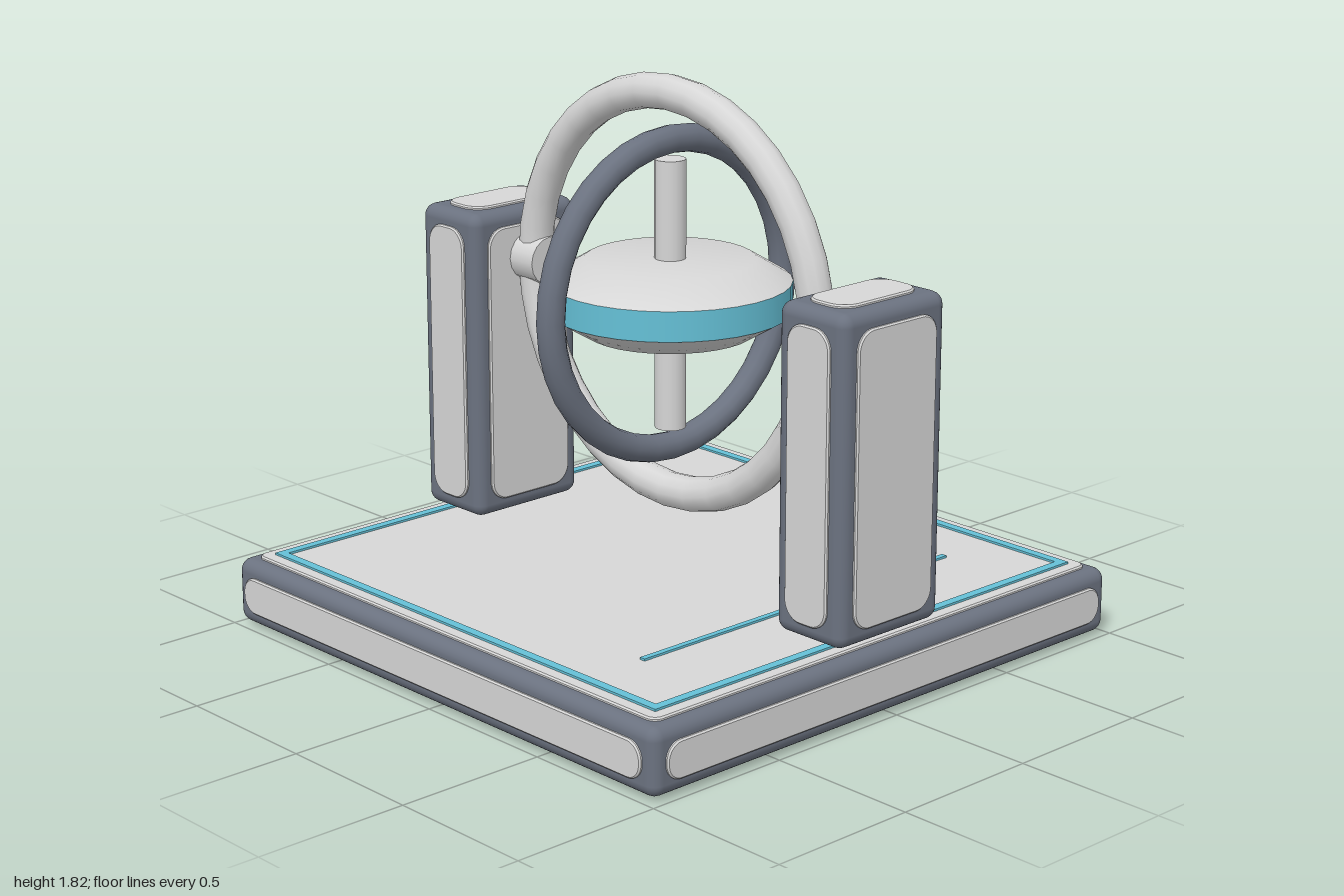
import * as THREE from 'three';
import { RoundedBoxGeometry } from 'three/addons/geometries/RoundedBoxGeometry.js';

const light = new THREE.MeshStandardMaterial({ color: 0xd6d6d6 });
light.name = 'light grey';
const dark = new THREE.MeshStandardMaterial({ color: 0x6b7280 });
dark.name = 'slate grey';
const teal = new THREE.MeshStandardMaterial({ color: 0x65c0d6 });
teal.name = 'teal';

const CENTRE_Y = 1.117;

function addMesh(parent, name, geometry, material, x = 0, y = 0, z = 0) {
  const mesh = new THREE.Mesh(geometry, material);
  mesh.name = name;
  mesh.position.set(x, y, z);
  parent.add(mesh);
  return mesh;
}

// Rounded rectangle of half sizes a, b and corner radius r
function roundedRect(a, b, r) {
  const s = new THREE.Shape();
  s.absarc(a - r, b - r, r, 0, Math.PI / 2);
  s.absarc(-a + r, b - r, r, Math.PI / 2, Math.PI);
  s.absarc(-a + r, -b + r, r, Math.PI, Math.PI * 1.5);
  s.absarc(a - r, -b + r, r, Math.PI * 1.5, Math.PI * 2);
  s.closePath();
  return s;
}

// Slab through a body, so that it shows as a raised panel on two opposite faces
function slab(a, b, halfDepth, r) {
  const bevel = 0.005;
  const g = new THREE.ExtrudeGeometry(roundedRect(a - bevel, b - bevel, r - bevel), {
    depth: 2 * (halfDepth - bevel), curveSegments: 6,
    bevelEnabled: true, bevelSize: bevel, bevelThickness: bevel, bevelSegments: 1,
  });
  return g.translate(0, 0, bevel - halfDepth);
}

// Dark rounded block with raised light panels on all six faces
function panelledBlock(name, hx, hy, hz, inset, sideRadius, topRadius) {
  const group = new THREE.Group();
  group.name = name;
  const raise = 0.01;
  addMesh(group, 'blockBody', new RoundedBoxGeometry(2 * hx, 2 * hy, 2 * hz, 3, 0.04), dark);
  const [a, b, c] = [hx - inset, hy - inset, hz - inset];
  addMesh(group, 'frontBackPanels', slab(a, b, hz + raise, sideRadius), light);
  addMesh(group, 'sidePanels', slab(c, b, hx + raise, sideRadius).rotateY(Math.PI / 2), light);
  addMesh(group, 'topBottomPanels', slab(a, c, hy + raise, topRadius).rotateX(Math.PI / 2), light);
  return group;
}

export function createModel() {
  const model = new THREE.Group();
  model.name = 'gyroscope';

  // Base with inlaid frame and single line
  const base = panelledBlock('base', 0.99, 0.1075, 0.99, 0.047, 0.055, 0.035);
  base.position.y = 0.1175;
  model.add(base);

  const frame = new THREE.Shape();
  const hole = new THREE.Path();
  const corners = (h) => [[-h, -h], [h, -h], [h, h], [-h, h]].map(([x, y]) => new THREE.Vector2(x, y));
  frame.setFromPoints(corners(0.9));
  hole.setFromPoints(corners(0.87));
  frame.holes.push(hole);
  const frameGeometry = new THREE.ExtrudeGeometry(frame, { depth: 0.008, bevelEnabled: false });
  addMesh(model, 'baseFrame', frameGeometry.rotateX(-Math.PI / 2), teal, 0, 0.234);
  addMesh(model, 'baseLine', new THREE.BoxGeometry(0.02, 0.008, 1.32), teal, 0.585, 0.238);

  // Posts and pivots, mirrored
  for (const side of [1, -1]) {
    const label = side > 0 ? 'left' : 'right';
    const post = panelledBlock(label + 'Post', 0.139, 0.516, 0.22, 0.052, 0.065, 0.065);
    post.position.set(side * 0.829, 0.762, 0);
    model.add(post);
    const pivot = new THREE.CylinderGeometry(0.08, 0.08, 0.11, 16).rotateZ(Math.PI / 2);
    addMesh(model, label + 'Pivot', pivot, light, side * 0.627, CENTRE_Y);
  }

  // Outer ring faces the front, inner ring is turned across it
  addMesh(model, 'outerRing', new THREE.TorusGeometry(0.644, 0.057, 12, 36), light, 0, CENTRE_Y);
  const inner = new THREE.TorusGeometry(0.497, 0.045, 12, 36).rotateY(Math.PI / 2);
  addMesh(model, 'innerRing', inner, dark, 0, CENTRE_Y);

  // Rotor: two smooth caps, a coloured rim and the axle
  const capProfile = [[0.385, 0.048], [0.27, 0.118], [0, 0.118]].map(([r, y]) => new THREE.Vector2(r, y));
  const cap = new THREE.LatheGeometry(capProfile, 32);
  addMesh(model, 'rotorTop', cap, light, 0, CENTRE_Y);
  addMesh(model, 'rotorBottom', cap.clone().rotateX(Math.PI), light, 0, CENTRE_Y);
  addMesh(model, 'rotorRim', new THREE.CylinderGeometry(0.385, 0.385, 0.096, 32, 1, true), teal, 0, CENTRE_Y);
  addMesh(model, 'axle', new THREE.CylinderGeometry(0.05, 0.05, 0.87, 16), light, 0, CENTRE_Y);

  return model;
}
